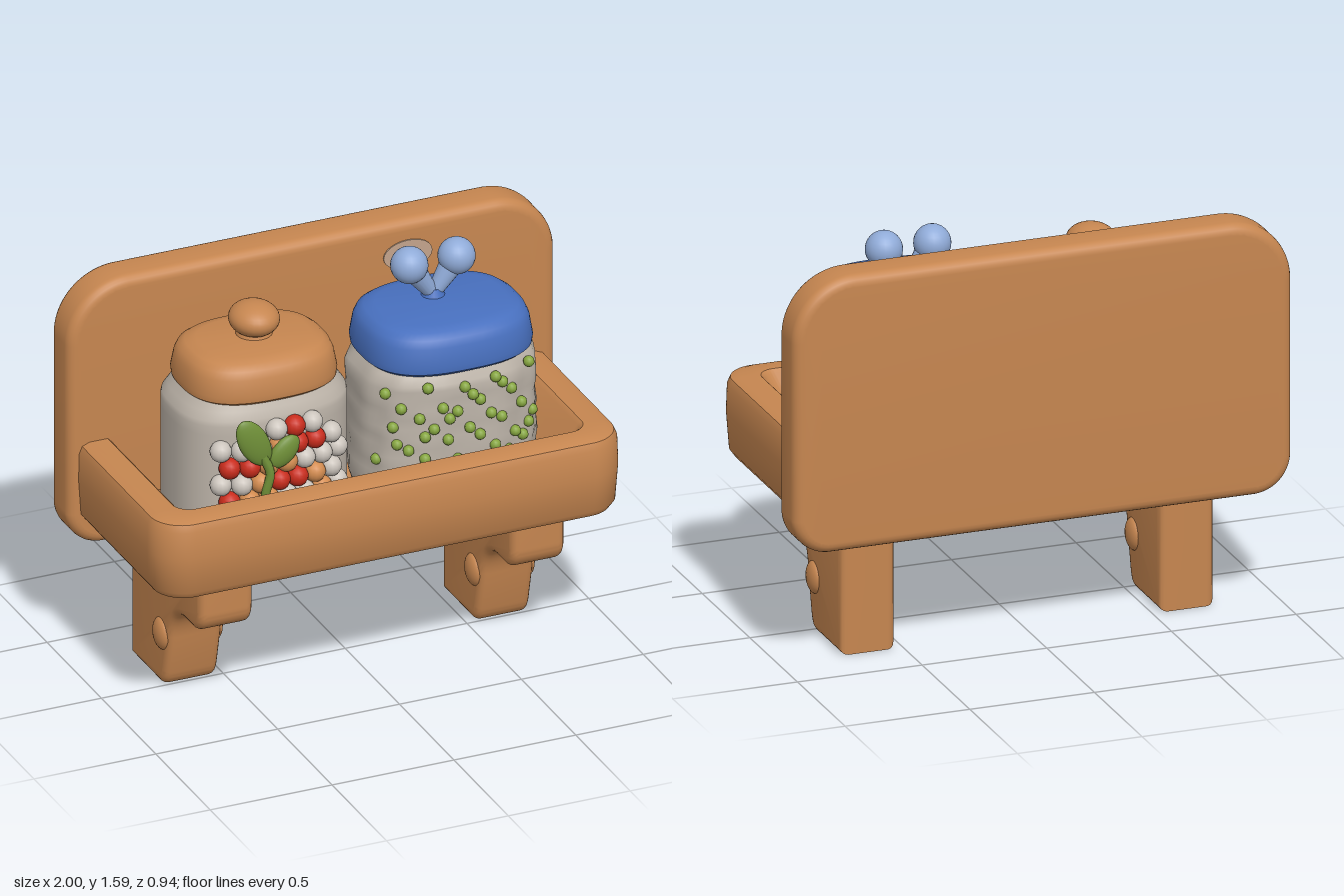
import * as THREE from 'three';
import { toCreasedNormals } from 'three/addons/utils/BufferGeometryUtils.js';

const mat = (name, color) => Object.assign(new THREE.MeshStandardMaterial({ color }), { name });
const M = {
  wood: mat('wood', 0xc68650),
  jar: mat('stoneware', 0xbdb4a9),
  blue: mat('blue lid', 0x4870bf),
  pale: mat('pale blue', 0x90abd8),
  leaf: mat('leaf green', 0x6f8f38),
  pea: mat('pea green', 0x86a640),
  red: mat('berry red', 0xc92c1c),
  orange: mat('berry orange', 0xd38c50),
  white: mat('berry white', 0xccc5bd),
  patch: mat('pale wood', 0xc3a48c),
};

function add(parent, name, geometry, material, x = 0, y = 0, z = 0) {
  const mesh = new THREE.Mesh(geometry, material);
  mesh.name = name;
  mesh.position.set(x, y, z);
  parent.add(mesh);
  return mesh;
}

// Counter-clockwise rectangle with its own top and bottom corner radii
function roundRect(x0, x1, y0, y1, rTop, rBottom) {
  const s = new THREE.Shape(), q = Math.PI / 2;
  s.absarc(x1 - rBottom, y0 + rBottom, rBottom, -q, 0);
  s.absarc(x1 - rTop, y1 - rTop, rTop, 0, q);
  s.absarc(x0 + rTop, y1 - rTop, rTop, q, 2 * q);
  s.absarc(x0 + rBottom, y0 + rBottom, rBottom, 2 * q, 3 * q);
  return s;
}

// Skin a stack of closed rings, each an array of [x, y, z]
function loft(rings, crease = 0.7) {
  const n = rings[0].length, index = [];
  for (let i = 0; i < rings.length - 1; i++) {
    for (let j = 0; j < n; j++) {
      const k = (j + 1) % n, a = i * n + j, b = i * n + k;
      index.push(a, b, b + n, a, b + n, a + n);
    }
  }
  const g = new THREE.BufferGeometry();
  g.setAttribute('position', new THREE.Float32BufferAttribute(rings.flat(2), 3));
  g.setIndex(index);
  return toCreasedNormals(g, crease);
}

// Rounded-square pot from [y, halfWidth, halfDepth] rows, with optional hand-made wobble
function pot(rows, wobble = 0, power = 2.7) {
  const n = 64;
  return loft(rows.map(([y, a, b]) => Array.from({ length: n }, (_, j) => {
    const t = (j / n) * Math.PI * 2, c = Math.cos(t), s = Math.sin(t);
    const w = a ? 1 + wobble * Math.sin(t * 7 + y * 23) * Math.sin(t * 4 - y * 31) : 1;
    return [Math.sign(c) * Math.abs(c) ** (2 / power) * a * w, y,
      -Math.sign(s) * Math.abs(s) ** (2 / power) * b * w];
  })));
}

function jarRows(a, b) {
  const rows = [[0.64, 0, 0], [0.64, a - 0.06, b - 0.06], [0.66, a - 0.02, b - 0.02]];
  for (let y = 0.7; y < 1.15; y += 0.04) rows.push([y, a, b]);
  rows.push([1.16, a - 0.004, b - 0.004], [1.19, a - 0.025, b - 0.02], [1.23, a - 0.05, b - 0.04], [1.23, 0, 0]);
  return rows;
}

function lidRows(y0, y1, a, b) {
  return [[y0, 0, 0], [y0, a - 0.02, b - 0.02], [y0 + 0.015, a - 0.003, b - 0.003], [y0 + 0.04, a, b],
    [y1 - 0.06, a - 0.012, b - 0.012], [y1 - 0.03, a - 0.025, b - 0.025], [y1 - 0.01, a - 0.05, b - 0.05],
    [y1, a - 0.09, b - 0.09], [y1, 0, 0]];
}

// z of a pot's front surface at sideways offset u
const frontZ = (u, a, b, power = 2.7) => b * (1 - Math.min(1, Math.abs(u / a)) ** power) ** (1 / power);

function tray() {
  // [y, halfWidth, back z, front z, front corner radius]: outside, over the rim, down the sloping inside
  const rows = [
    [0.59, 0.90, -0.34, 0.41, 0.10], [0.597, 0.93, -0.34, 0.445, 0.12], [0.625, 0.95, -0.34, 0.465, 0.14],
    [0.77, 0.96, -0.34, 0.47, 0.14], [0.88, 0.957, -0.34, 0.467, 0.14], [0.908, 0.945, -0.34, 0.455, 0.13],
    [0.92, 0.915, -0.34, 0.425, 0.11], [0.92, 0.84, -0.32, 0.36, 0.07], [0.905, 0.825, -0.32, 0.345, 0.06],
    [0.72, 0.74, -0.32, 0.29, 0.06], [0.66, 0.68, -0.32, 0.25, 0.06],
  ];
  const rings = rows.map(([y, w, back, front, r]) =>
    roundRect(-w, w, -front, -back, 0.02, r).getPoints(8).map(p => [p.x, y, -p.y]));
  const middle = y => rings[0].map(() => [0, y, 0]);
  return loft([middle(0.59), ...rings, middle(0.66)]);
}

function bracket() {
  const s = new THREE.Shape();
  s.moveTo(-0.27, 0.03);
  s.lineTo(-0.03, 0.03);
  s.quadraticCurveTo(-0.01, 0.03, 0, 0.07);
  s.lineTo(0.03, 0.20);
  s.bezierCurveTo(0.04, 0.33, 0.10, 0.40, 0.20, 0.40);
  s.lineTo(0.28, 0.40);
  s.quadraticCurveTo(0.32, 0.41, 0.32, 0.46);
  s.lineTo(0.32, 0.62);
  s.lineTo(-0.27, 0.62);
  const g = new THREE.ExtrudeGeometry(s, { depth: 0.16, bevelSize: 0.03, bevelThickness: 0.03, bevelSegments: 4, curveSegments: 12 });
  g.translate(0, 0, -0.08).rotateY(-Math.PI / 2);
  return toCreasedNormals(g, 0.7);
}

export function createModel() {
  const model = new THREE.Group();
  model.name = 'wallShelfWithJars';

  // Back board with soft edges
  const board = new THREE.ExtrudeGeometry(roundRect(-0.96, 0.96, 0.52, 1.54, 0.21, 0.11),
    { depth: 0.09, bevelSize: 0.04, bevelThickness: 0.04, bevelSegments: 5, curveSegments: 12 });
  add(model, 'backBoard', toCreasedNormals(board, 0.7), M.wood, 0, 0, -0.43);
  const patch = add(model, 'boardPatch', new THREE.CylinderGeometry(1, 1, 1, 24), M.patch, 0.39, 1.44, -0.298);
  patch.rotation.x = Math.PI / 2;
  patch.scale.set(0.1, 0.006, 0.06);

  add(model, 'tray', tray(), M.wood);

  // Brackets with a round peg on each side
  for (const side of [-1, 1]) {
    const leg = new THREE.Group();
    leg.name = side > 0 ? 'leftBracket' : 'rightBracket';
    leg.position.x = side * 0.64;
    add(leg, 'bracketBody', bracket(), M.wood);
    for (const x of [-0.105, 0.105]) {
      add(leg, 'peg', new THREE.SphereGeometry(1, 20, 14), M.wood, x, 0.215, -0.015).scale.set(0.03, 0.065, 0.06);
    }
    model.add(leg);
  }

  // Berry jar with wooden lid
  const berryJar = new THREE.Group();
  berryJar.name = 'berryJar';
  berryJar.position.set(-0.355, 0, -0.045);
  add(berryJar, 'jarBody', pot(jarRows(0.345, 0.265)), M.jar);
  add(berryJar, 'jarLid', pot(lidRows(1.21, 1.375, 0.305, 0.252)), M.wood);
  add(berryJar, 'knobNeck', new THREE.CylinderGeometry(0.055, 0.075, 0.06, 24), M.wood, 0.01, 1.39, -0.02);
  add(berryJar, 'knob', new THREE.SphereGeometry(1, 28, 18), M.wood, 0.01, 1.437, -0.02).scale.set(0.096, 0.065, 0.106);

  // Berries in staggered rows, colours cycling
  const cycle = [M.white, M.orange, M.red, M.orange, M.white, M.orange, M.red];
  const berry = new THREE.SphereGeometry(0.042, 14, 10);
  for (let row = 0; row < 6; row++) {
    const y = 0.76 + row * 0.071;
    const from = row === 5 ? -0.03 : -0.24 + (row % 2) * 0.03, to = row === 5 ? 0.18 : 0.27;
    let i = 0;
    for (let x = from; x <= to; x += 0.074, i++) {
      const edge = x > 0.17 || x < -0.21;
      const colour = edge ? M.white : row === 5 ? [M.white, M.red, M.white][i % 3] : cycle[(i * 3 + row * 2) % 7];
      add(berryJar, 'berry', berry, colour, x, y, frontZ(x, 0.345, 0.265) + 0.012);
    }
  }

  // Sprig lying over the berries: [x, y, halfWidth, halfLength, tilt]
  for (const [x, y, w, l, tilt] of [[-0.135, 1.09, 0.058, 0.11, 0.5], [-0.01, 1.03, 0.048, 0.075, -0.75]]) {
    const leaf = add(berryJar, 'leaf', new THREE.SphereGeometry(1, 20, 14), M.leaf, x, y, 0.305);
    leaf.scale.set(w, l, 0.025);
    leaf.rotation.z = tilt;
  }
  const stem = new THREE.CatmullRomCurve3([[-0.1, 1.03, 0.31], [-0.075, 0.96, 0.32], [-0.09, 0.88, 0.315], [-0.1, 0.78, 0.3]]
    .map(p => new THREE.Vector3(...p)));
  add(berryJar, 'stem', new THREE.TubeGeometry(stem, 16, 0.018, 8), M.leaf);
  model.add(berryJar);

  // Pea jar with blue lid
  const peaJar = new THREE.Group();
  peaJar.name = 'peaJar';
  peaJar.position.set(0.402, 0, -0.02);
  add(peaJar, 'jarBody', pot(jarRows(0.352, 0.268), 0.022), M.jar);
  add(peaJar, 'jarLid', pot(lidRows(1.2, 1.375, 0.335, 0.28)), M.blue);

  // Peas scattered over the front
  const pea = new THREE.SphereGeometry(0.022, 10, 8);
  for (let row = 0; row < 8; row++) {
    for (let col = 0; col < 7; col++) {
      const x = -0.295 + col * 0.092 + 0.035 * Math.sin(row * 2.3 + col * 4.1);
      const y = 0.74 + row * 0.058 + 0.02 * Math.sin(row * 5.1 + col * 2.7);
      if ((row * 3 + col * 2) % 5 === 0 || x > 0.3) continue;
      add(peaJar, 'pea', pea, M.pea, x, y, frontZ(x, 0.352, 0.268) + 0.006);
    }
  }

  // Twin-bulb sprout handle
  add(peaJar, 'handleCollar', new THREE.CylinderGeometry(0.03, 0.05, 0.04, 20), M.blue, -0.007, 1.385, -0.058);
  for (const side of [-1, 1]) {
    const base = new THREE.Vector3(-0.007, 1.375, -0.058);
    const tip = new THREE.Vector3(-0.007 + side * 0.097, 1.517, -0.058);
    const stalk = add(peaJar, 'handleStalk', new THREE.CylinderGeometry(0.052, 0.026, base.distanceTo(tip), 18), M.pale);
    stalk.position.copy(base).lerp(tip, 0.5);
    stalk.quaternion.setFromUnitVectors(new THREE.Vector3(0, 1, 0), tip.clone().sub(base).normalize());
    add(peaJar, 'handleBulb', new THREE.SphereGeometry(0.072, 24, 16), M.pale, tip.x, tip.y, tip.z);
  }
  model.add(peaJar);
  return model;
}
